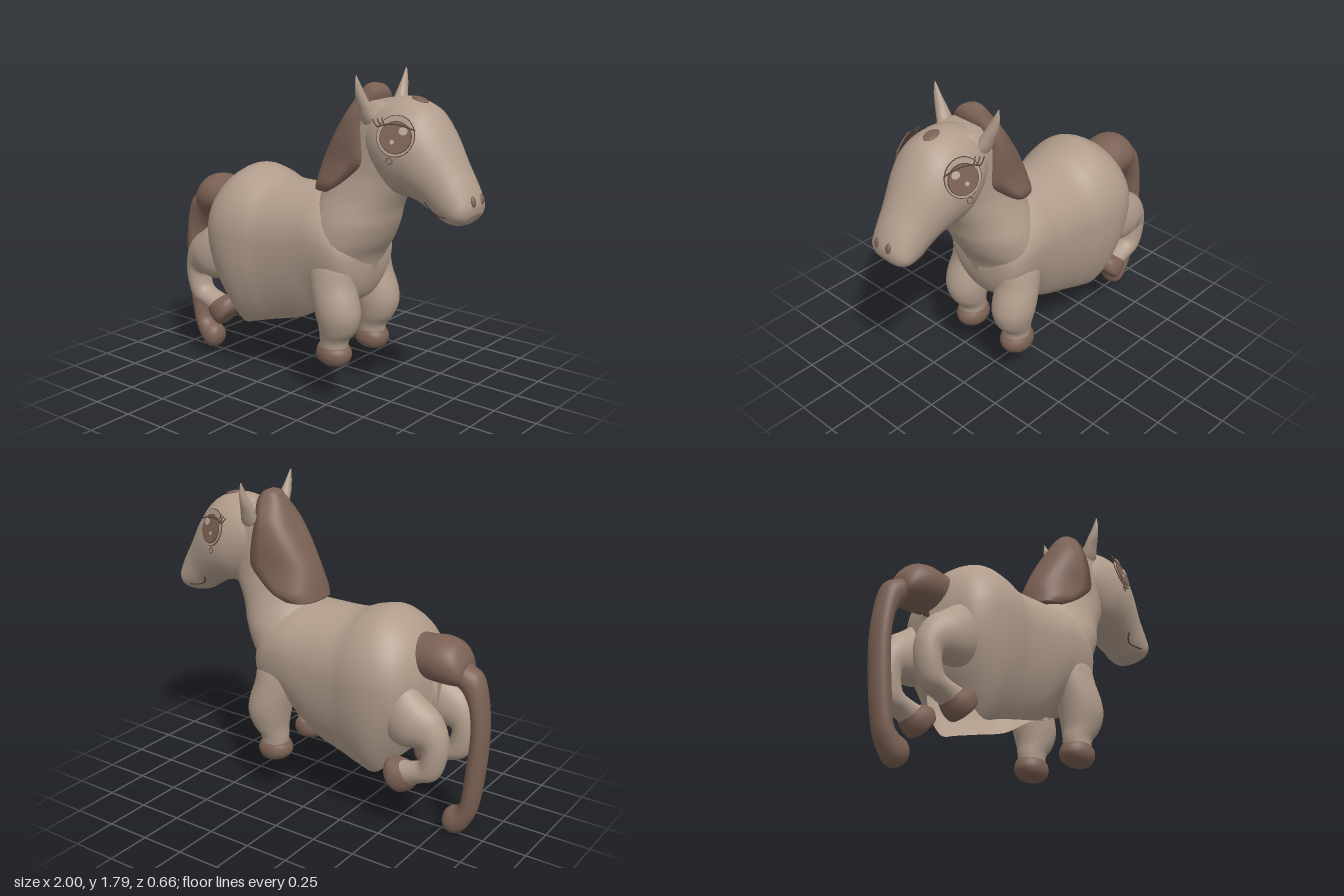
import * as THREE from 'three';

const mat = (name, color, side = THREE.FrontSide) => {
  const m = new THREE.MeshStandardMaterial({ color, side });
  m.name = name;
  return m;
};

// Catmull-Rom refinement of a table of section values
function refine(table, steps = 5) {
  const out = [];
  for (let i = 0; i < table.length - 1; i++) {
    const p = [i - 1, i, i + 1, i + 2].map(k => table[Math.min(Math.max(k, 0), table.length - 1)]);
    for (let s = 0; s < steps; s++) {
      const t = s / steps;
      out.push(p[1].map((b, k) => {
        const a = p[0][k], c = p[2][k], d = p[3][k];
        return b + 0.5 * t * (c - a + t * (2 * a - 5 * b + 4 * c - d + t * (3 * (b - c) + d - a)));
      }));
    }
  }
  out.push(table[table.length - 1]);
  return out;
}

// Skin over rows of points; closed rows wrap round and get end caps
function skin(rows, closed) {
  const n = rows[0].length, pos = rows.flat(2), idx = [];
  const quads = closed ? n : n - 1;
  for (let i = 0; i < rows.length - 1; i++)
    for (let j = 0; j < quads; j++) {
      const a = i * n + j, b = i * n + (j + 1) % n, c = a + n, d = b + n;
      idx.push(a, b, c, b, d, c);
    }
  if (closed) {
    [0, rows.length - 1].forEach((r, end) => {
      const mid = [0, 1, 2].map(k => rows[r].reduce((s, p) => s + p[k], 0) / n);
      const m = pos.length / 3;
      pos.push(...mid);
      for (let j = 0; j < n; j++) {
        const a = r * n + j, b = r * n + (j + 1) % n;
        idx.push(...(end ? [m, a, b] : [m, b, a]));
      }
    });
    // turn the faces outward when the enclosed volume is negative
    const v = k => new THREE.Vector3().fromArray(pos, k * 3);
    let volume = 0;
    for (let i = 0; i < idx.length; i += 3) volume += v(idx[i]).dot(v(idx[i + 1]).cross(v(idx[i + 2])));
    if (volume < 0) idx.reverse();
  }
  const g = new THREE.BufferGeometry();
  g.setAttribute('position', new THREE.Float32BufferAttribute(pos, 3));
  g.setIndex(idx);
  g.computeVertexNormals();
  return g;
}

// Oval sections, each spanning two side-profile points: [x1, y1, x2, y2, halfWidth, z]
function loft(table, sides = 28) {
  return skin(refine(table).map(([x1, y1, x2, y2, w, z = 0]) =>
    Array.from({ length: sides }, (_, j) => {
      const a = j / sides * Math.PI * 2, c = Math.cos(a) / 2;
      return [(x1 + x2) / 2 + (x1 - x2) * c, (y1 + y2) / 2 + (y1 - y2) * c, z + w * Math.sin(a)];
    })), true);
}

// Level sections: [y, backX, frontX, halfWidth, z]
const stack = t => loft(t.map(([y, x0, x1, w, z = 0]) => [x0, y, x1, y, w, z]));

export function createModel() {
  const coat = mat('coat', 0xb09c8b);
  const shell = mat('coatShell', 0xb09c8b, THREE.DoubleSide);
  const brown = mat('maneBrown', 0x7b6154, THREE.DoubleSide);
  const dark = mat('darkLine', 0x57443a, THREE.DoubleSide);
  const shine = mat('eyeShine', 0xbcaa9a);

  const model = new THREE.Group();
  model.name = 'horse';
  const add = (name, geo, m, parent = model) => {
    const mesh = new THREE.Mesh(geo, m);
    mesh.name = name;
    parent.add(mesh);
    return mesh;
  };

  // Torso, hollow and open below: [x, top, bottom, halfWidth, bottom closure]
  const torso = refine([
    [-0.675, 0.9, 0.68, 0.03, 1], [-0.65, 0.99, 0.57, 0.15, 1], [-0.6, 1.09, 0.48, 0.26, 0.95],
    [-0.52, 1.17, 0.40, 0.313, 0.8], [-0.42, 1.215, 0.31, 0.33, 0.75], [-0.31, 1.195, 0.335, 0.32, 0.72],
    [-0.2, 1.158, 0.365, 0.297, 0.72], [0, 1.155, 0.42, 0.285, 0.78], [0.13, 1.15, 0.5, 0.285, 0.95],
    [0.24, 1.11, 0.53, 0.275, 1], [0.32, 1.0, 0.57, 0.24, 1], [0.36, 0.9, 0.65, 0.17, 1],
    [0.38, 0.82, 0.74, 0.03, 1]]);
  add('torso', skin(torso.map(([x, top, bottom, w, close]) => {
    const yc = top - (top - bottom) * 0.4, row = [];
    for (let j = -20; j <= 20; j++) {
      const u = Math.abs(j) / 10, side = Math.sign(j);
      if (u <= 1) row.push([x, yc + (top - yc) * Math.cos(u * Math.PI / 2), side * w * Math.sin(u * Math.PI / 2)]);
      else {
        const s = Math.sin((u - 1) * Math.PI / 2);
        row.push([x, yc + (bottom - yc) * s, side * w * Math.sqrt(Math.max(0, 1 - Math.min(close, 1) * s * s))]);
      }
    }
    return row;
  }), false), shell);

  // Neck with the breast, and head
  add('neck', stack([
    [0.56, 0.12, 0.3, 0.1], [0.63, 0.04, 0.345, 0.18], [0.74, 0, 0.372, 0.235], [0.82, 0, 0.4, 0.258],
    [0.9, 0, 0.45, 0.262], [1.0, 0.02, 0.495, 0.25], [1.08, 0.04, 0.52, 0.222],
    [1.15, 0.07, 0.555, 0.195], [1.25, 0.1, 0.62, 0.168], [1.33, 0.12, 0.68, 0.16], [1.45, 0.19, 0.68, 0.16],
    [1.57, 0.26, 0.62, 0.15], [1.65, 0.34, 0.56, 0.1]]), coat);
  const head = add('head', loft([
    [0.37, 1.56, 0.37, 1.44, 0.06], [0.40, 1.62, 0.39, 1.35, 0.135], [0.48, 1.668, 0.46, 1.25, 0.18],
    [0.60, 1.68, 0.55, 1.18, 0.205], [0.72, 1.64, 0.63, 1.17, 0.205], [0.81, 1.54, 0.70, 1.15, 0.185],
    [0.90, 1.39, 0.77, 1.11, 0.152], [0.965, 1.28, 0.83, 1.075, 0.137], [0.997, 1.2, 0.9, 1.067, 0.122],
    [0.997, 1.15, 0.95, 1.08, 0.08], [0.99, 1.13, 0.97, 1.1, 0.03]]), coat);

  // Mane: half-oval sections hugging the back of the neck, [y, backX, frontX, halfWidth]
  const mane = refine([
    [1.155, 0.04, 0.17, 0.155], [1.2, 0.05, 0.25, 0.18], [1.27, 0.065, 0.34, 0.174], [1.34, 0.09, 0.4, 0.168],
    [1.45, 0.15, 0.395, 0.166], [1.57, 0.225, 0.385, 0.145], [1.67, 0.285, 0.41, 0.085],
    [1.715, 0.32, 0.395, 0.055], [1.73, 0.345, 0.375, 0.015]]);
  add('mane', skin(mane.map(([y, x0, x1, w]) => Array.from({ length: 21 }, (_, j) => {
    const a = (j / 20 - 0.5) * Math.PI, s = Math.sin(a);
    return [x1 - (x1 - x0) * Math.pow(Math.max(Math.cos(a), 0), 0.75), y, w * Math.sign(s) * Math.pow(Math.abs(s), 0.75)];
  })), true), brown);
  const forelock = add('forelock', new THREE.SphereGeometry(1, 20, 12), brown);
  forelock.scale.set(0.047, 0.011, 0.034);
  forelock.position.set(0.645, 1.669, 0);
  forelock.rotation.z = -0.25;

  // Tail dock and hanging tail
  add('tailDock', loft([
    [-0.57, 1.1, -0.57, 0.87, 0.115], [-0.64, 1.1, -0.64, 0.865, 0.128], [-0.73, 1.108, -0.73, 0.86, 0.14],
    [-0.81, 1.085, -0.81, 0.86, 0.125], [-0.86, 1.02, -0.86, 0.87, 0.09], [-0.87, 0.98, -0.87, 0.9, 0.04]]), brown);
  add('tail', loft([
    [-0.78, 1.02, -0.78, 0.86, 0.07], [-0.88, 0.98, -0.82, 0.86, 0.075], [-0.95, 0.93, -0.86, 0.82, 0.072],
    [-0.985, 0.79, -0.895, 0.74, 0.07], [-1, 0.6, -0.905, 0.6, 0.068], [-0.985, 0.36, -0.885, 0.38, 0.066],
    [-0.955, 0.17, -0.865, 0.21, 0.064], [-0.915, 0.075, -0.835, 0.165, 0.068], [-0.875, 0.02, -0.8, 0.15, 0.072],
    [-0.835, 0, -0.776, 0.13, 0.068], [-0.795, 0.012, -0.765, 0.1, 0.05], [-0.775, 0.035, -0.763, 0.075, 0.02]]), brown);

  // Finds the head surface along z (side) or x (front)
  const ray = new THREE.Raycaster();
  const hit = (from, dir) => {
    ray.set(new THREE.Vector3(...from), new THREE.Vector3(...dir));
    return ray.intersectObject(head)[0].point;
  };

  // Everything in a pair is made once and mirrored across z
  for (const side of [1, -1]) {
    const half = new THREE.Group();
    half.name = side > 0 ? 'nearSide' : 'farSide';
    half.scale.z = side;
    model.add(half);

    add('frontLeg', stack([
      [0.86, 0.14, 0.28, 0.05, 0.17], [0.78, 0.08, 0.34, 0.09, 0.172], [0.68, 0.1, 0.358, 0.108, 0.175],
      [0.58, 0.13, 0.39, 0.118, 0.18], [0.5, 0.15, 0.4, 0.116, 0.18], [0.42, 0.165, 0.375, 0.098, 0.176],
      [0.36, 0.165, 0.33, 0.078, 0.174], [0.31, 0.17, 0.32, 0.072, 0.174]]), coat, half);
    add('frontHoof', loft([
      [0.155, 0.325, 0.325, 0.32, 0.076, 0.174], [0.143, 0.3, 0.342, 0.295, 0.087, 0.174],
      [0.142, 0.265, 0.344, 0.265, 0.088, 0.174], [0.165, 0.235, 0.33, 0.235, 0.075, 0.174],
      [0.2, 0.22, 0.31, 0.219, 0.052, 0.174], [0.235, 0.217, 0.28, 0.215, 0.02, 0.174]]), brown, half);
    add('hindLeg', loft([
      [-0.46, 0.93, -0.41, 0.66, 0.05, 0.17], [-0.6, 0.88, -0.52, 0.56, 0.1, 0.172], [-0.7, 0.81, -0.61, 0.53, 0.11, 0.172],
      [-0.79, 0.74, -0.68, 0.535, 0.093, 0.165],
      [-0.843, 0.63, -0.71, 0.535, 0.078, 0.16], [-0.843, 0.5, -0.71, 0.5, 0.074, 0.16], [-0.8, 0.38, -0.69, 0.455, 0.07, 0.16],
      [-0.71, 0.335, -0.62, 0.43, 0.066, 0.16], [-0.62, 0.29, -0.54, 0.42, 0.064, 0.16]]), coat, half);
    add('hindHoof', loft([
      [-0.68, 0.32, -0.57, 0.432, 0.072, 0.16], [-0.645, 0.275, -0.51, 0.43, 0.088, 0.16],
      [-0.6, 0.25, -0.487, 0.385, 0.083, 0.16], [-0.575, 0.258, -0.495, 0.35, 0.055, 0.16],
      [-0.555, 0.28, -0.51, 0.33, 0.02, 0.16]]), brown, half);
    add('ear', stack([
      [1.5, 0.4, 0.45, 0.02, 0.11], [1.56, 0.378, 0.475, 0.037, 0.13], [1.62, 0.378, 0.46, 0.037, 0.153],
      [1.67, 0.384, 0.443, 0.033, 0.178], [1.73, 0.396, 0.427, 0.022, 0.203], [1.79, 0.405, 0.412, 0.003, 0.22]]), coat, half);

    // Eye: thin stacked discs, lid line, lashes and a small teardrop ring
    const eye = new THREE.Group();
    eye.name = 'eye';
    eye.position.set(0.637, 1.512, 0.2);
    eye.quaternion.setFromUnitVectors(new THREE.Vector3(0, 0, 1), new THREE.Vector3(0.3, 0.25, 0.92).normalize());
    half.add(eye);
    const disc = (name, x, y, z, rx, ry, m) => {
      const d = add(name, new THREE.CylinderGeometry(1, 1, 0.004, 32).rotateX(Math.PI / 2), m, eye);
      d.position.set(x, y, z);
      d.scale.set(rx, ry, 1);
    };
    const line = (name, pts, r) => add(name, new THREE.TubeGeometry(
      new THREE.CatmullRomCurve3(pts.map(p => new THREE.Vector3(...p))), 16, r, 5), dark, eye);
    disc('eyeRim', 0, 0, 0, 0.098, 0.104, dark);
    disc('eyeWhite', 0, 0, 0.003, 0.094, 0.1, coat);
    disc('irisRim', 0.002, -0.008, 0.006, 0.082, 0.081, dark);
    disc('iris', 0.002, -0.008, 0.009, 0.078, 0.077, brown);
    disc('largeShine', 0.038, 0.026, 0.012, 0.022, 0.02, shine);
    disc('smallShine', -0.012, -0.032, 0.012, 0.011, 0.011, shine);
    line('upperLid', [[-0.098, 0.035, 0.009], [-0.04, 0.054, 0.011], [0.03, 0.053, 0.011], [0.096, 0.035, 0.008]], 0.004);
    for (let i = 0; i < 3; i++)
      line('eyelash', [[-0.096 + i * 0.018, 0.036 + i * 0.006, 0.009], [-0.112 + i * 0.02, 0.05 + i * 0.007, 0.008],
        [-0.126 + i * 0.023, 0.07 + i * 0.007, 0.006]], 0.003);
    const tear = add('teardrop', new THREE.TorusGeometry(0.016, 0.002, 6, 20), dark, eye);
    tear.position.set(-0.018, -0.125, -0.004);

    // Smile line following the cheek, and nostril
    const smile = [[0.77, 1.19], [0.778, 1.165], [0.8, 1.14], [0.845, 1.125], [0.89, 1.122]]
      .map(([x, y]) => hit([x, y, 1], [0, 0, -1]));
    add('smile', new THREE.TubeGeometry(new THREE.CatmullRomCurve3(smile), 24, 0.005, 6), dark, half);
    const nostril = add('nostril', new THREE.SphereGeometry(1, 20, 14), brown, half);
    nostril.position.copy(hit([2, 1.205, 0.04], [-1, 0, 0]));
    nostril.scale.set(0.011, 0.027, 0.017);
    nostril.rotation.z = 0.25;
  }
  return model;
}
